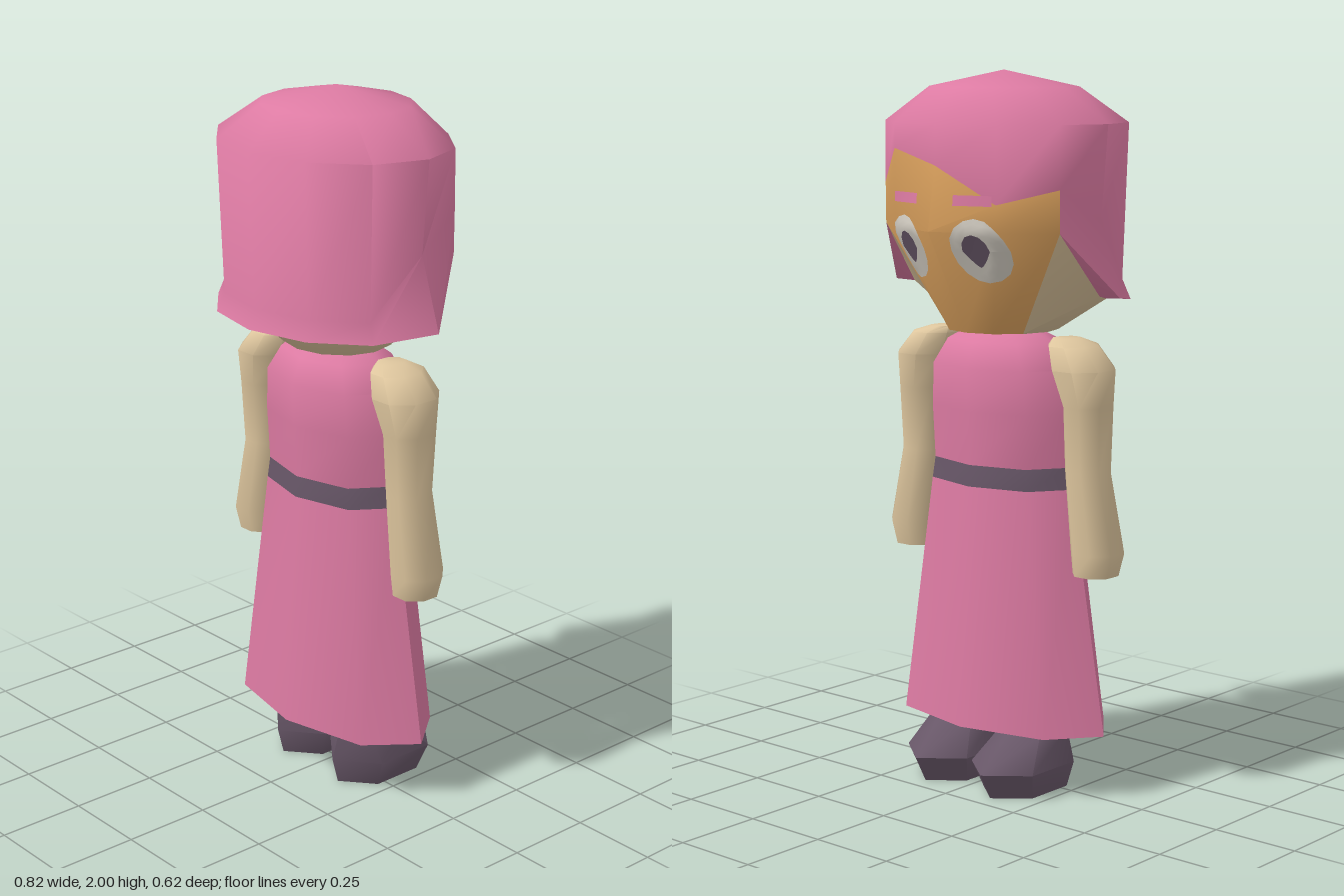
import * as THREE from 'three';
import { toCreasedNormals } from 'three/addons/utils/BufferGeometryUtils.js';

const mat = (name, color) => Object.assign(new THREE.MeshStandardMaterial({ color }), { name });

// Ring of points; index 0 is at -z (where the face is) and runs round by +x.
const ring = (n, fn) => Array.from({ length: n }, (_, i) => fn(i, (i / n) * Math.PI * 2));

// Triangles between two rings, for the given segments only.
function strip(out, low, high, segments) {
  const n = low.length;
  for (const i of segments ?? low.keys()) {
    const j = (i + 1) % n;
    out.push(low[j], low[i], high[i], low[j], high[i], high[j]);
  }
}

function toGeometry(points, crease = 1.0) {
  const kept = [];
  const v = points.map((p) => new THREE.Vector3(...p));
  for (let k = 0; k < v.length; k += 3) {
    const [a, b, c] = [v[k], v[k + 1], v[k + 2]];
    const area = b.clone().sub(a).cross(c.clone().sub(a)).length();
    if (area > 1e-7) kept.push(a, b, c);
  }
  return toCreasedNormals(new THREE.BufferGeometry().setFromPoints(kept), crease);
}

// Stacked ellipses [y, rx, rz, cx, cz] joined from the bottom up, with end caps.
function loft(rows, n, turn = 0, caps = true) {
  const rings = rows.map(([y, rx, rz, cx = 0, cz = 0]) =>
    ring(n, (i, t) => [cx + rx * Math.sin(t + turn), y, cz - rz * Math.cos(t + turn)]));
  if (caps) {
    const centre = ([y, , , cx = 0, cz = 0]) => ring(n, () => [cx, y, cz]);
    rings.unshift(centre(rows[0]));
    rings.push(centre(rows.at(-1)));
  }
  const out = [];
  for (let r = 0; r + 1 < rings.length; r++) strip(out, rings[r], rings[r + 1]);
  return toGeometry(out);
}

export function createModel() {
  const pink = mat('pink', 0xdd7ba3);
  const skin = mat('skin', 0xdec69e);
  const facePaint = mat('face', 0xdca25e);
  const purple = mat('purple', 0x685768);
  const white = mat('eye white', 0xd9d3c8);

  const model = new THREE.Group();
  const add = (name, geometry, material, parent = model) => {
    const mesh = new THREE.Mesh(geometry, material);
    mesh.name = name;
    parent.add(mesh);
    return mesh;
  };

  // Dress with a belt band
  const beltLow = [0.86, 0.247, 0.15], beltHigh = [0.92, 0.235, 0.146];
  add('skirt', loft([[0.18, 0.365, 0.19], beltLow], 8), pink);
  add('belt', loft([beltLow, beltHigh], 8, 0, false), purple);
  add('bodice', loft([beltHigh, [1.07, 0.24, 0.155], [1.19, 0.23, 0.16],
    [1.26, 0.18, 0.13], [1.292, 0.1, 0.08]], 8), pink);

  // Arms, legs and shoes
  for (const [side, s] of [['left', 1], ['right', -1]]) {
    add(side + 'Arm', loft([
      [0.635, 0.065, 0.066, s * 0.332], [0.7, 0.076, 0.077, s * 0.338],
      [0.92, 0.064, 0.068, s * 0.303], [1.1, 0.068, 0.08, s * 0.303],
      [1.2, 0.088, 0.1, s * 0.285], [1.262, 0.068, 0.08, s * 0.25],
      [1.28, 0.035, 0.045, s * 0.225]], 8, Math.PI / 8), skin);
    add(side + 'Leg', loft([[0.1, 0.075, 0.085, s * 0.125], [0.4, 0.075, 0.085, s * 0.125]], 8), skin);
    add(side + 'Shoe', loft([
      [0, 0.105, 0.15, s * 0.122, -0.05], [0.075, 0.13, 0.18, s * 0.122, -0.06],
      [0.165, 0.085, 0.12, s * 0.128, -0.02]], 6), purple);
  }

  // Head rings, all with twelve points; rf and rb are the front and back depths
  const at = (t, y, rx, rf, rb = rf) =>
    [rx * Math.sin(t), y, -Math.cos(t) * (Math.cos(t) > 0 ? rf : rb)];
  const isFront = (i) => i <= 2 || i >= 10;
  const isSide = (i) => i === 3 || i === 9;
  const fringe = { 0: 1.75, 1: 1.79, 2: 1.69, 10: 1.69, 11: 1.65 };

  const jaw = ring(12, (i, t) => at(t, 1.29, 0.16, 0.16, 0.14));
  const cheek = ring(12, (i, t) => at(t, 1.575, 0.365, i === 0 ? 0.31 : 0.28, 0.3));
  const brow = ring(12, (i, t) => at(t, fringe[i] ?? 1.7, 0.365, 0.282, 0.3));
  const nape = ring(12, (i, t) => isFront(i) ? cheek[i]
    : isSide(i) ? at(t, 1.4, 0.34, 0.24) : at(t, 1.38, 0.31, 0.24));
  const hem = ring(12, (i, t) => isFront(i) ? cheek[i]
    : isSide(i) ? at(t, 1.4, 0.41, 0.31) : at(t, 1.38, 0.375, 0.31));
  const tuck = ring(12, (i, t) => isFront(i) ? brow[i]
    : isSide(i) ? at(t, 1.6, 0.343, 0.29) : at(t, 1.435, 0.35, 0.29));
  const rim = ring(12, (i, t) => at(t, 1.86, 0.365, 0.28, 0.305));
  const crown = ring(12, (i, t) => at(t, 1.955, 0.215, 0.2));
  const apex = ring(12, () => [0, 2, 0]);
  const frontSegments = [10, 11, 0, 1];
  const backSegments = [2, 3, 4, 5, 6, 7, 8, 9];

  const head = new THREE.Group();
  head.name = 'head';
  model.add(head);

  const face = [];
  strip(face, jaw, cheek, frontSegments);
  strip(face, cheek, brow, frontSegments);
  add('face', toGeometry(face, 0.8), facePaint, head);

  const under = [];
  strip(under, ring(12, () => [0, 1.29, 0]), jaw);
  strip(under, jaw, nape, backSegments);
  add('jawAndNape', toGeometry(under), skin, head);

  const hair = [];
  strip(hair, nape, hem, backSegments);
  strip(hair, hem, tuck, backSegments);
  strip(hair, tuck, rim);
  strip(hair, rim, crown);
  strip(hair, crown, apex);
  add('hair', toGeometry(hair, 1.1), pink, head);

  // Depth of the face surface at (x, y)
  function faceZ(x, y) {
    const ax = Math.abs(x);
    const p = [0, 1, 2].map((i) => {
      const t = (y - 1.29) / 0.285;
      const [a, b, k] = t < 1 ? [jaw[i], cheek[i], t] : [cheek[i], brow[i], (y - 1.575) / (brow[i][1] - 1.575)];
      return [a[0] + (b[0] - a[0]) * k, a[2] + (b[2] - a[2]) * k];
    });
    const s = ax < p[1][0] ? 0 : 1;
    const k = (ax - p[s][0]) / (p[s + 1][0] - p[s][0]);
    return p[s][1] + (p[s + 1][1] - p[s][1]) * k;
  }

  // Lay a flat patch on the face
  function decal(geometry, cx, cy, lift, taper = 0) {
    const pos = geometry.attributes.position;
    for (let i = 0; i < pos.count; i++) {
      const py = pos.getY(i);
      const x = cx - pos.getX(i) * (1 + taper * Math.min(py, 0));
      pos.setXYZ(i, x, cy + py, faceZ(x, cy + py) - lift);
    }
    geometry.computeVertexNormals();
    return geometry;
  }

  // Eyes, pupils and eyebrows
  for (const [side, s] of [['left', 1], ['right', -1]]) {
    add(side + 'Eye', decal(new THREE.RingGeometry(0.001, 1, 16, 6).scale(0.075, 0.088, 1),
      s * 0.125, 1.525, 0.006), white, head);
    add(side + 'Pupil', decal(new THREE.RingGeometry(0.001, 1, 12, 4).scale(0.037, 0.045, 1),
      s * 0.12, 1.525, 0.011, 14), purple, head);
    add(side + 'Eyebrow', decal(new THREE.PlaneGeometry(0.11, 0.028, 6, 1),
      s * 0.12, 1.66, 0.006), pink, head);
  }
  return model;
}
